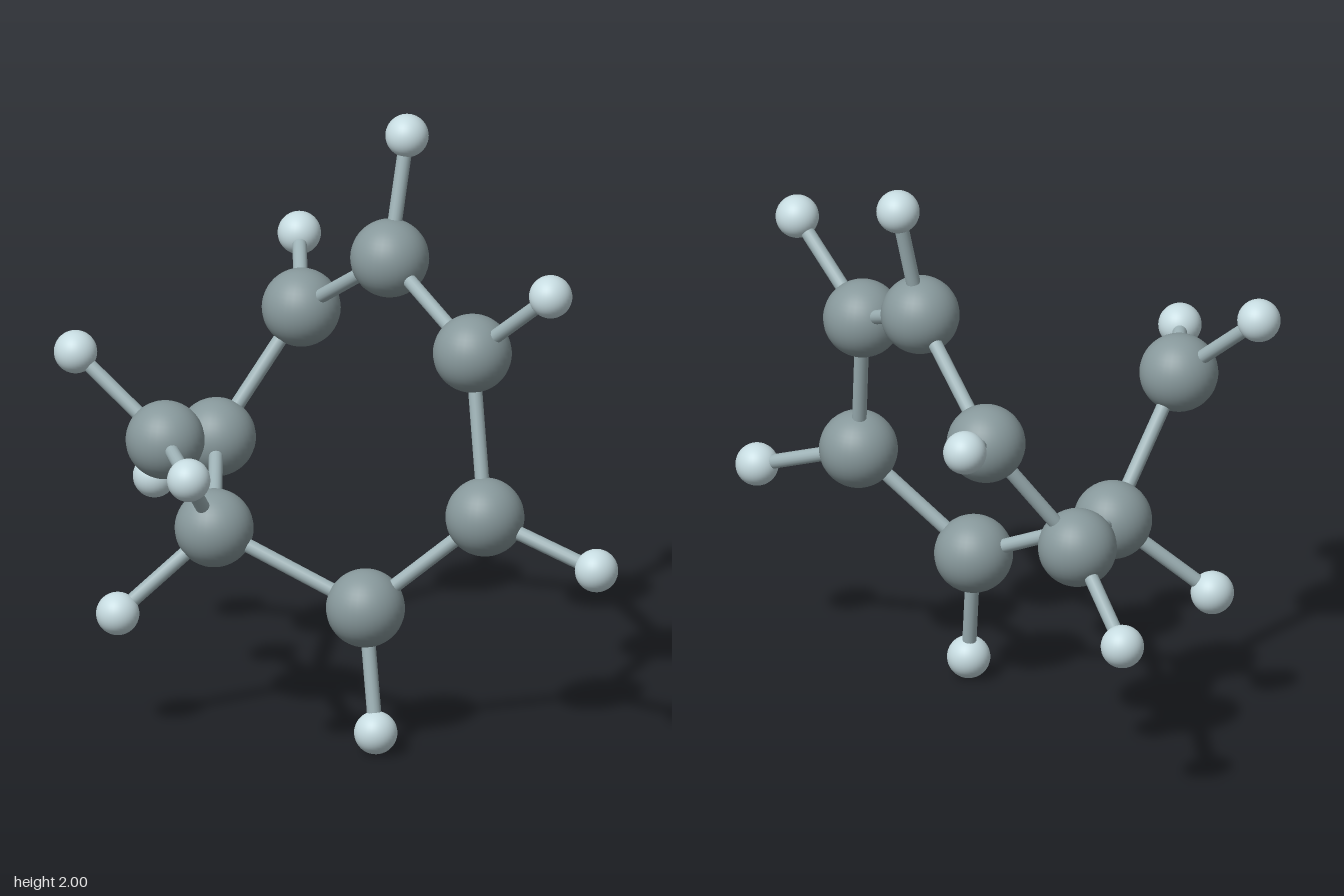
import * as THREE from 'three';

const LARGE_R = 0.131, SMALL_R = 0.072, ROD_R = 0.024;

// Large ball centres: the seven of the ring in order, then the side branch
const large = [
  [-0.04, 1.53, -0.46],
  [0.44, 1.335, -0.385],
  [0.57, 0.81, -0.32],
  [0.275, 0.48, -0.055],
  [-0.185, 0.705, 0.2],
  [-0.59, 0.83, -0.19],
  [-0.5, 1.235, -0.49],
  [-0.07, 1.12, 0.53],
];
const BRANCH = 7, BRANCH_ROOT = 4;

// Small balls: index of the large ball each hangs on, then its centre
const small = [
  [0, [-0.065, 1.928, -0.562]],
  [1, [0.76, 1.6, -0.44]],
  [2, [0.923, 0.67, -0.495]],
  [3, [0.362, 0.074, -0.02]],
  [4, [-0.34, 0.435, 0.492]],
  [5, [-0.927, 0.6, -0.225]],
  [6, [-0.792, 1.36, -0.755]],
  [7, [0.284, 1.12, 0.755]],
  [7, [-0.37, 1.382, 0.655]],
];

export function createModel() {
  const model = new THREE.Group();
  model.name = 'moleculeModel';
  const largeMat = new THREE.MeshStandardMaterial({ color: 0x87989b });
  const smallMat = new THREE.MeshStandardMaterial({ color: 0xc6dbe0 });
  const rodMat = new THREE.MeshStandardMaterial({ color: 0x9fb3b7 });
  const largeGeo = new THREE.SphereGeometry(LARGE_R, 32, 24);
  const smallGeo = new THREE.SphereGeometry(SMALL_R, 32, 24);
  const up = new THREE.Vector3(0, 1, 0);

  const ball = (name, geometry, material, centre) => {
    const mesh = new THREE.Mesh(geometry, material);
    mesh.name = name;
    mesh.position.set(...centre);
    model.add(mesh);
  };

  // Cylinder running between two ball centres
  const rod = (name, from, to) => {
    const a = new THREE.Vector3(...from), b = new THREE.Vector3(...to);
    const dir = b.clone().sub(a);
    const mesh = new THREE.Mesh(new THREE.CylinderGeometry(ROD_R, ROD_R, dir.length(), 16), rodMat);
    mesh.name = name;
    mesh.position.copy(a).lerp(b, 0.5);
    mesh.quaternion.setFromUnitVectors(up, dir.normalize());
    model.add(mesh);
  };

  // Large balls, closed ring of rods and the branch rod
  large.forEach((c, i) => {
    ball(i === BRANCH ? 'branchAtom' : `ringAtom${i + 1}`, largeGeo, largeMat, c);
    if (i < BRANCH) rod(`ringBond${i + 1}`, c, large[(i + 1) % BRANCH]);
  });
  rod('branchBond', large[BRANCH_ROOT], large[BRANCH]);

  // Small outer balls with their rods
  small.forEach(([parent, c], i) => {
    ball(`outerAtom${i + 1}`, smallGeo, smallMat, c);
    rod(`outerBond${i + 1}`, large[parent], c);
  });

  return model;
}
